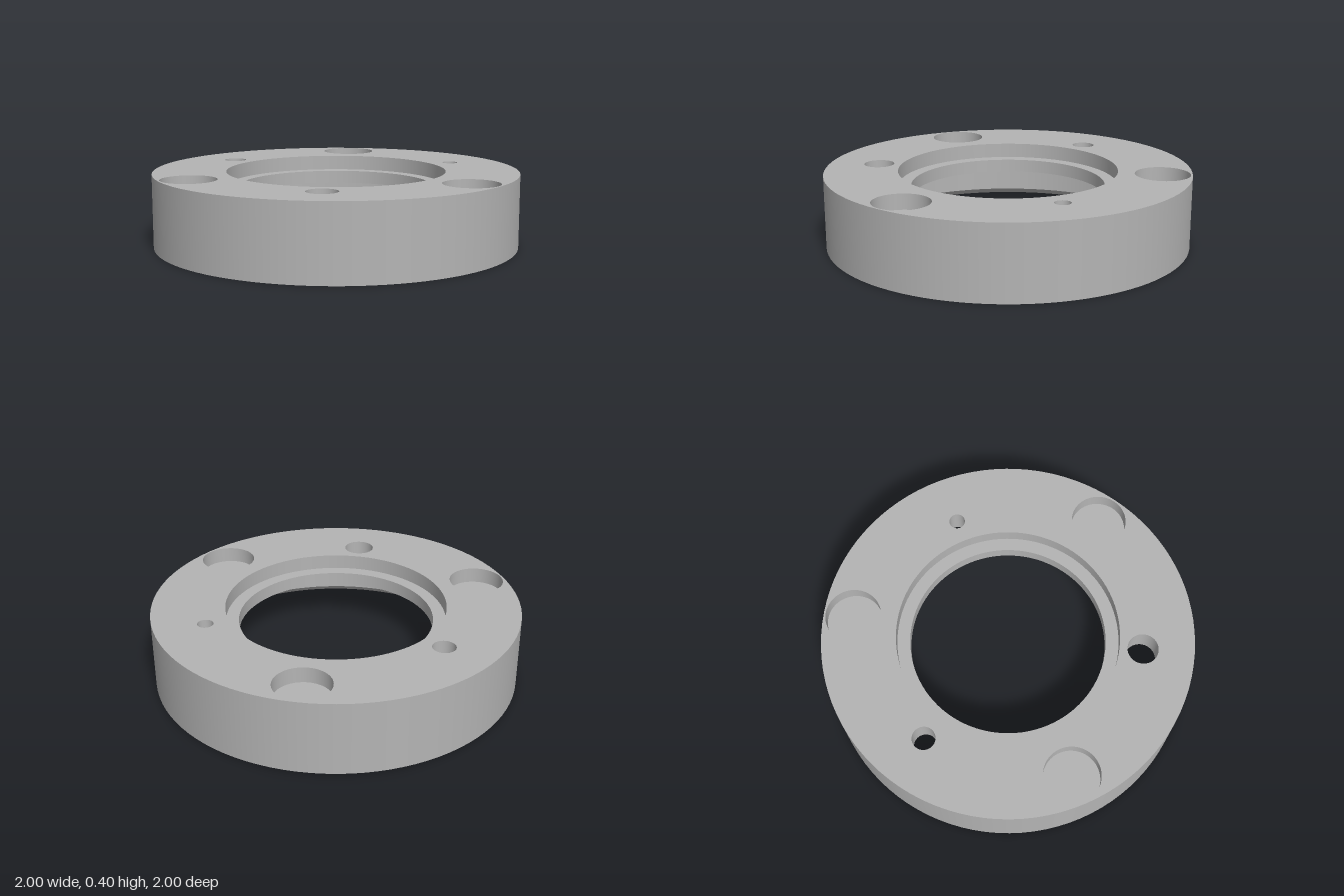
import * as THREE from 'three';
import { mergeGeometries } from 'three/addons/utils/BufferGeometryUtils.js';

const SEG = 96;
const TOP = 0.4, LEDGE = 0.318, UNDER = 0.246, POCKET = 0.315;
const R_OUT = 1, R_SEAT = 0.6, R_BORE = 0.53, R_CAVITY = 0.925, R_LIP = 0.95, LIP = 0.03;

// Wall of revolution: listed upward it faces outward, listed downward it faces inward
function wall(r0, y0, r1, y1, x = 0, z = 0) {
  const pts = [new THREE.Vector2(r0, y0), new THREE.Vector2(r1, y1)];
  return new THREE.LatheGeometry(pts, SEG).translate(x, 0, z);
}

// Flat round face at height y with round holes, facing up (dir 1) or down (dir -1)
function face(y, r, holes, dir, x = 0, z = 0) {
  const shape = new THREE.Shape().absarc(x, -dir * z, r, 0, Math.PI * 2, false);
  for (const h of holes) {
    shape.holes.push(new THREE.Path().absarc(h.x, -dir * h.z, h.r, 0, Math.PI * 2, true));
  }
  return new THREE.ShapeGeometry(shape, SEG / 2).rotateX(-dir * Math.PI / 2).translate(0, y, 0);
}

// Hole on a bolt circle
function onCircle(radius, degrees, r) {
  const a = THREE.MathUtils.degToRad(degrees);
  return { x: radius * Math.cos(a), z: radius * Math.sin(a), r };
}

export function createModel() {
  const group = new THREE.Group();
  const grey = new THREE.MeshStandardMaterial({ color: 0xb4b4b4 });
  grey.name = 'plain grey';

  const add = (name, parts) => {
    const mesh = new THREE.Mesh(mergeGeometries(parts), grey);
    mesh.name = name;
    group.add(mesh);
  };

  const pockets = [60, 180, 300].map((a) => onCircle(0.84, a, 0.15));
  const through = [onCircle(0.725, 0, 0.043), onCircle(0.725, 120, 0.083), onCircle(0.725, 240, 0.062)];
  const centre = (r) => ({ x: 0, z: 0, r });

  // Outer body
  add('outerWall', [wall(R_OUT, 0, R_OUT, TOP)]);
  add('topFace', [face(TOP, R_OUT, [centre(R_SEAT), ...pockets, ...through], 1)]);

  // Stepped central opening
  add('seat', [wall(R_SEAT, TOP, R_SEAT, LEDGE), face(LEDGE, R_SEAT, [centre(R_BORE)], 1)]);
  add('bore', [wall(R_BORE, LEDGE, R_BORE, UNDER)]);

  // Hollow underside with a chamfered rim
  add('underside', [face(UNDER, R_CAVITY, [centre(R_BORE), ...through], -1)]);
  add('cavityWall', [wall(R_CAVITY, UNDER, R_CAVITY, LIP)]);
  add('rimChamfer', [wall(R_CAVITY, LIP, R_LIP, 0)]);
  add('bottomRim', [face(0, R_OUT, [centre(R_LIP)], -1)]);

  // Blind round pockets
  for (const p of pockets) {
    add('pocket', [wall(p.r, TOP, p.r, POCKET, p.x, p.z), face(POCKET, p.r, [], 1, p.x, p.z)]);
  }

  // Through holes of three sizes
  for (const h of through) {
    add('throughHole', [wall(h.r, TOP, h.r, UNDER, h.x, h.z)]);
  }
  return group;
}
